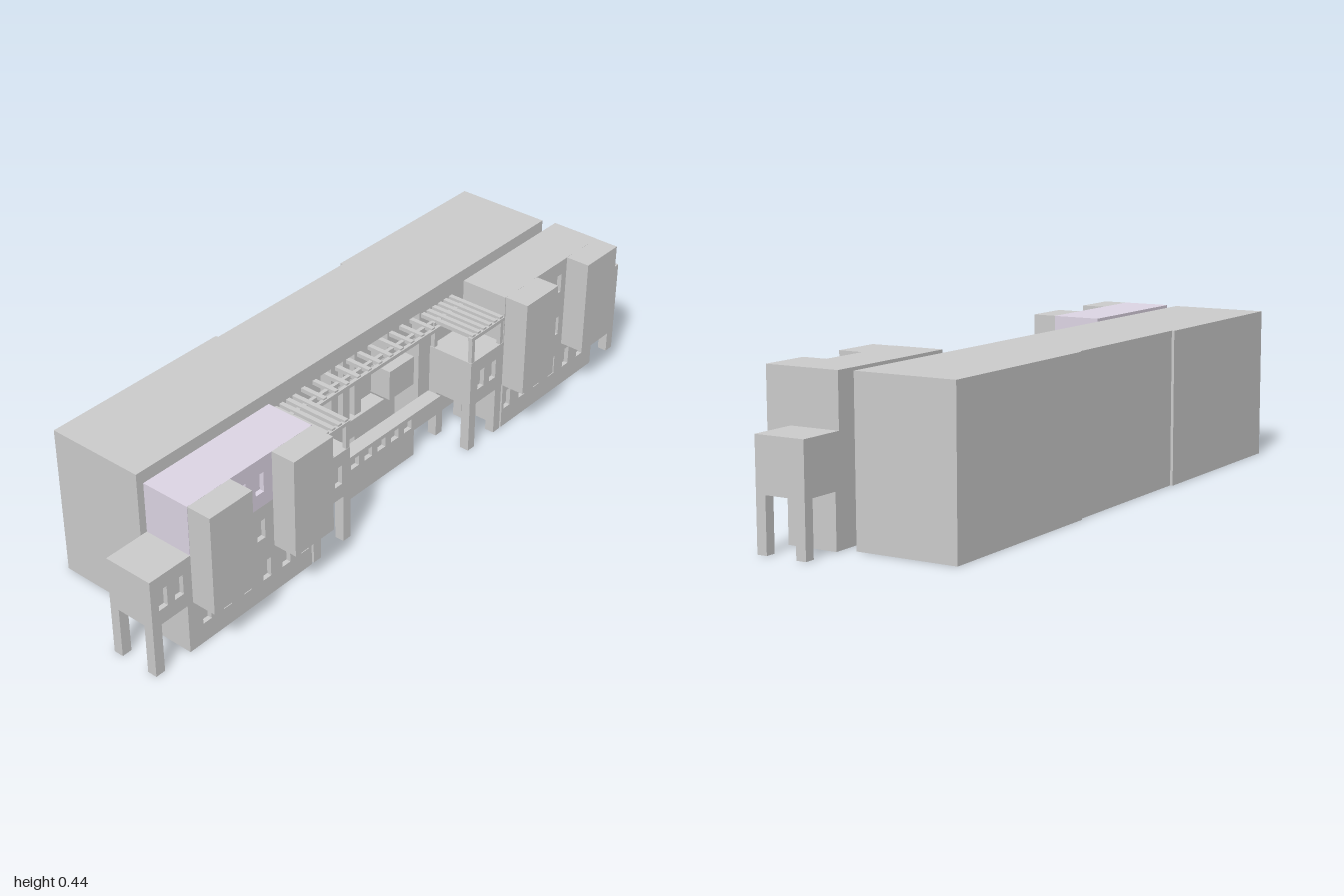
import * as THREE from 'three';

const grey = new THREE.MeshStandardMaterial({ color: 0xcccccc, flatShading: true });
const lilac = new THREE.MeshStandardMaterial({ color: 0xddd5e4, flatShading: true });

export function createModel() {
  const model = new THREE.Group();

  // Box given by its limits on each axis
  function box(parent, name, x0, x1, y0, y1, z0, z1, mat = grey) {
    const mesh = new THREE.Mesh(new THREE.BoxGeometry(x1 - x0, y1 - y0, Math.abs(z1 - z0)), mat);
    mesh.position.set((x0 + x1) / 2, (y0 + y1) / 2, (z0 + z1) / 2);
    mesh.name = name;
    parent.add(mesh);
  }

  function rect(path, a, b, y0, y1) {
    const z0 = Math.min(a, b), z1 = Math.max(a, b);
    return path.moveTo(z0, y0).lineTo(z1, y0).lineTo(z1, y1).lineTo(z0, y1).closePath();
  }

  // Block whose +x face carries recessed windows; windows = [z centre, y bottom, y top]
  function windowBlock(parent, name, x0, x1, y0, y1, z0, z1, windows, width = 0.03, mat = grey) {
    const depth = 0.014;
    const group = new THREE.Group();
    group.name = name;
    parent.add(group);
    box(group, name + 'Core', x0, x1 - depth, y0, y1, z0, z1, mat);
    const shape = rect(new THREE.Shape(), z0, z1, y0, y1);
    for (const [z, a, b] of windows) {
      shape.holes.push(rect(new THREE.Path(), z - width / 2, z + width / 2, a, b));
    }
    const geo = new THREE.ExtrudeGeometry(shape, { depth, bevelEnabled: false });
    geo.rotateY(-Math.PI / 2);
    const wall = new THREE.Mesh(geo, mat);
    wall.position.x = x1;
    wall.name = name + 'WindowWall';
    group.add(wall);
  }

  // Long rear hall: two ends and a recessed centre under a continuous roof
  const hall = new THREE.Group();
  hall.name = 'rearHall';
  model.add(hall);
  for (const s of [1, -1]) box(hall, 'hallEnd', -0.278, 0.017, 0, 0.445, s * 0.26, s * 0.85);
  box(hall, 'hallCentre', -0.27, -0.07, 0, 0.445, -0.26, 0.26);
  box(hall, 'hallRoof', -0.07, 0.017, 0.393, 0.445, -0.26, 0.26);

  // Recessed courtyard front: side bays, columns and ledges
  const court = new THREE.Group();
  court.name = 'courtyardFront';
  model.add(court);
  for (const s of [1, -1]) {
    box(court, 'upperBay', -0.07, -0.01, 0.265, 0.393, s * 0.15, s * 0.26);
    box(court, 'lowerBay', -0.07, 0.0, 0.145, 0.24, s * 0.15, s * 0.26);
  }
  for (const z of [-0.045, 0.005, 0.055]) {
    box(court, 'column', -0.07, -0.03, 0.0, 0.393, z - 0.014, z + 0.014);
  }
  box(court, 'ledge', -0.07, -0.02, 0.08, 0.14, -0.15, 0.15);

  // Parapet wall joining the two towers
  const slots = [-2, -1, 0, 1, 2].map(i => [i * 0.058, 0.098, 0.13]);
  windowBlock(model, 'parapet', 0.06, 0.095, 0.085, 0.135, -0.26, 0.26, slots, 0.034);
  box(model, 'parapetCap', 0.055, 0.1, 0.135, 0.147, -0.26, 0.26);
  box(model, 'parapetBase', 0.06, 0.095, 0, 0.085, -0.145, 0.145);

  // Central pergola
  const pergola = new THREE.Group();
  pergola.name = 'centralPergola';
  model.add(pergola);
  for (const x of [0.055, 0.083]) box(pergola, 'beam', x, x + 0.011, 0.37, 0.381, -0.26, 0.26);
  for (let i = -5; i <= 5; i++) {
    box(pergola, 'slat', 0.01, 0.09, 0.374, 0.386, i * 0.046 - 0.007, i * 0.046 + 0.007);
  }

  for (const s of [1, -1]) {
    const side = new THREE.Group();
    side.name = s > 0 ? 'frontWing' : 'backWing';
    model.add(side);
    const win = (zs, a, b) => zs.map(z => [s * z, a, b]);

    // Wing: ground floor, middle floor, top floor and projecting bays
    windowBlock(side, 'groundFloor', 0.055, 0.203, 0, 0.15, s * 0.42, s * 0.88,
      win([0.445, 0.519, 0.593, 0.667, 0.741, 0.815], 0.06, 0.12));
    const zs = [0.61, 0.675];
    windowBlock(side, 'middleFloor', 0.055, 0.203, 0.15, 0.297, s * 0.412, s * 0.862, win(zs, 0.195, 0.255));
    windowBlock(side, 'topFloor', 0.055, 0.203, 0.297, 0.445, s * 0.412, s * 0.862,
      win(zs, 0.34, 0.4), 0.03, s > 0 ? lilac : grey);
    for (const z of [0.415, 0.713]) {
      box(side, 'bay', 0.2, 0.277, 0.15, 0.4448, s * z, s * (z + 0.148));
    }

    // End room raised on two legs
    windowBlock(side, 'endRoom', 0.055, 0.203, 0.15, 0.297, s * 0.862, s * 1, win([0.905, 0.96], 0.195, 0.255));
    for (const x of [0.055, 0.174]) box(side, 'endLeg', x, x + 0.029, 0, 0.15, s * 0.97, s * 1);

    // Tower room on four legs beside the courtyard
    windowBlock(side, 'towerRoom', 0.055, 0.203, 0.15, 0.297, s * 0.262, s * 0.412, win([0.31, 0.365], 0.195, 0.255));
    for (const x of [0.055, 0.174]) {
      for (const z of [0.262, 0.383]) box(side, 'towerLeg', x, x + 0.029, 0, 0.15, s * z, s * (z + 0.029));
    }

    // Tower pergola: posts, beams and slats
    for (const x of [0.057, 0.189]) {
      for (const z of [0.264, 0.397]) box(side, 'post', x, x + 0.013, 0.297, 0.372, s * z, s * (z + 0.013));
      box(side, 'towerBeam', x, x + 0.014, 0.37, 0.381, s * 0.26, s * 0.412);
    }
    for (let i = 0; i < 6; i++) {
      const z = 0.273 + i * 0.0256;
      box(side, 'towerSlat', 0.01, 0.2, 0.375, 0.387, s * (z - 0.007), s * (z + 0.007));
    }
  }
  return model;
}
